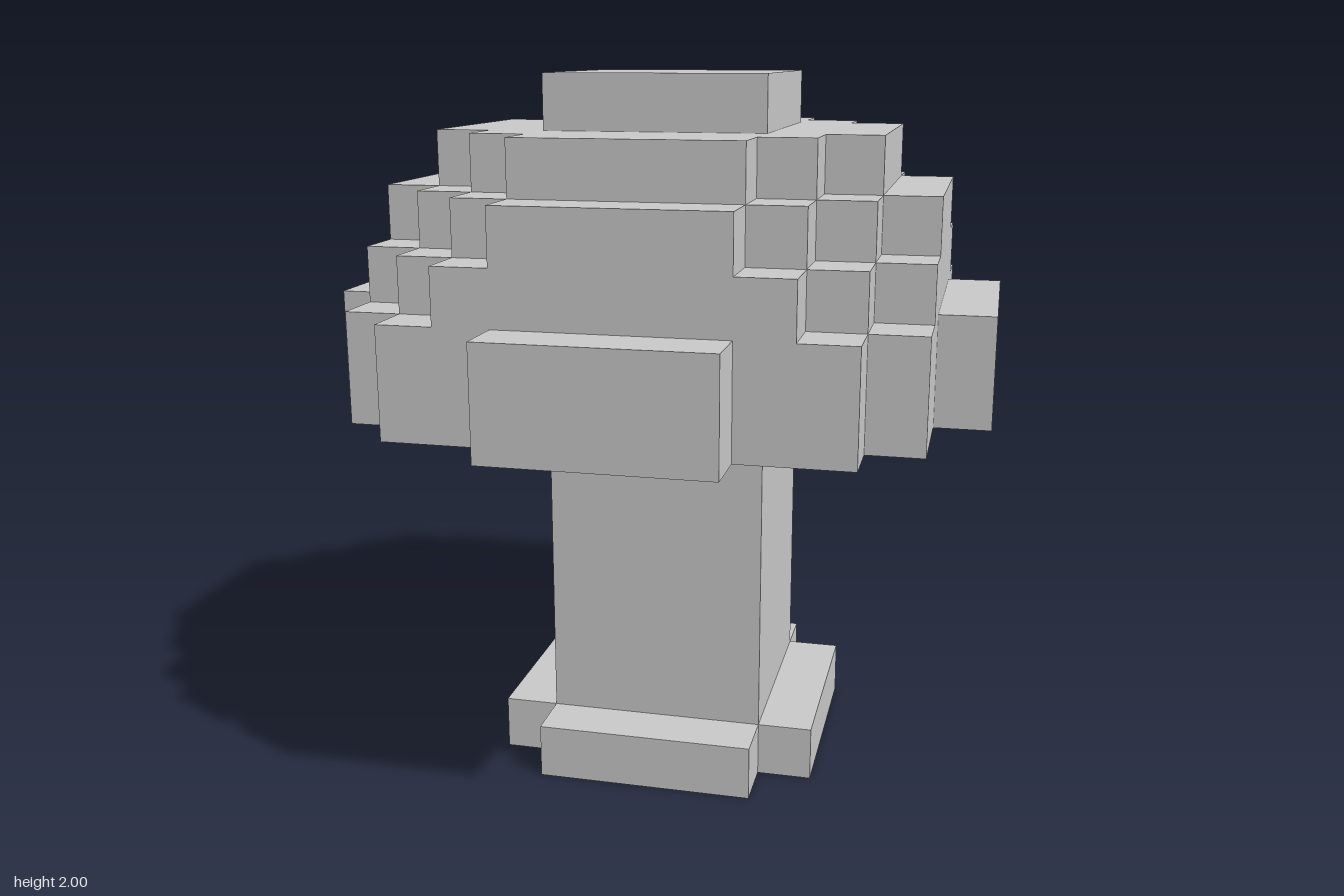
import * as THREE from 'three';

const U = 2 / 13; // edge of one block

// Stepped outline from [halfX, halfZ] corners, turned through four quadrants
function steppedShape(steps) {
  const quarter = [];
  for (let i = steps.length - 1; i >= 0; i--) {
    quarter.push(steps[i]);
    if (i > 0) quarter.push([steps[i - 1][0], steps[i][1]]);
  }
  const points = [];
  for (let q = 0; q < 4; q++) {
    const c = [1, 0, -1, 0][q], s = [0, 1, 0, -1][q];
    for (const [x, y] of quarter) {
      points.push(new THREE.Vector2((c * x - s * y) * U, (s * x + c * y) * U));
    }
  }
  return new THREE.Shape(points);
}

// Slab with a stepped outline between two block heights
function slab(name, bottom, top, steps, material) {
  const geometry = new THREE.ExtrudeGeometry(steppedShape(steps), {
    depth: (top - bottom) * U, bevelEnabled: false,
  });
  geometry.rotateX(-Math.PI / 2);
  const mesh = new THREE.Mesh(geometry, material);
  mesh.position.y = bottom * U;
  mesh.name = name;
  return mesh;
}

export function createModel() {
  const material = new THREE.MeshStandardMaterial({ color: 0xcccccc, flatShading: true });
  const model = new THREE.Group();
  model.name = 'blockMushroom';

  // Foot and stem
  model.add(slab('foot', 0, 1, [[2, 3], [3, 2]], material));
  model.add(slab('stem', 1, 7, [[2, 2]], material));

  // Domed cap, one slab per change of outline
  const cap = new THREE.Group();
  cap.name = 'cap';
  cap.add(
    slab('capRim', 7, 9, [[2, 6], [4, 5], [5, 4], [6, 2]], material),
    slab('capLowerStep', 9, 10, [[3, 5], [4, 4], [5, 3]], material),
    slab('capMiddleStep', 10, 11, [[2, 5], [3, 4], [4, 3], [5, 2]], material),
    slab('capUpperStep', 11, 12, [[2, 4], [3, 3], [4, 2]], material),
    slab('capTop', 12, 13, [[2, 2]], material),
  );
  model.add(cap);
  return model;
}
